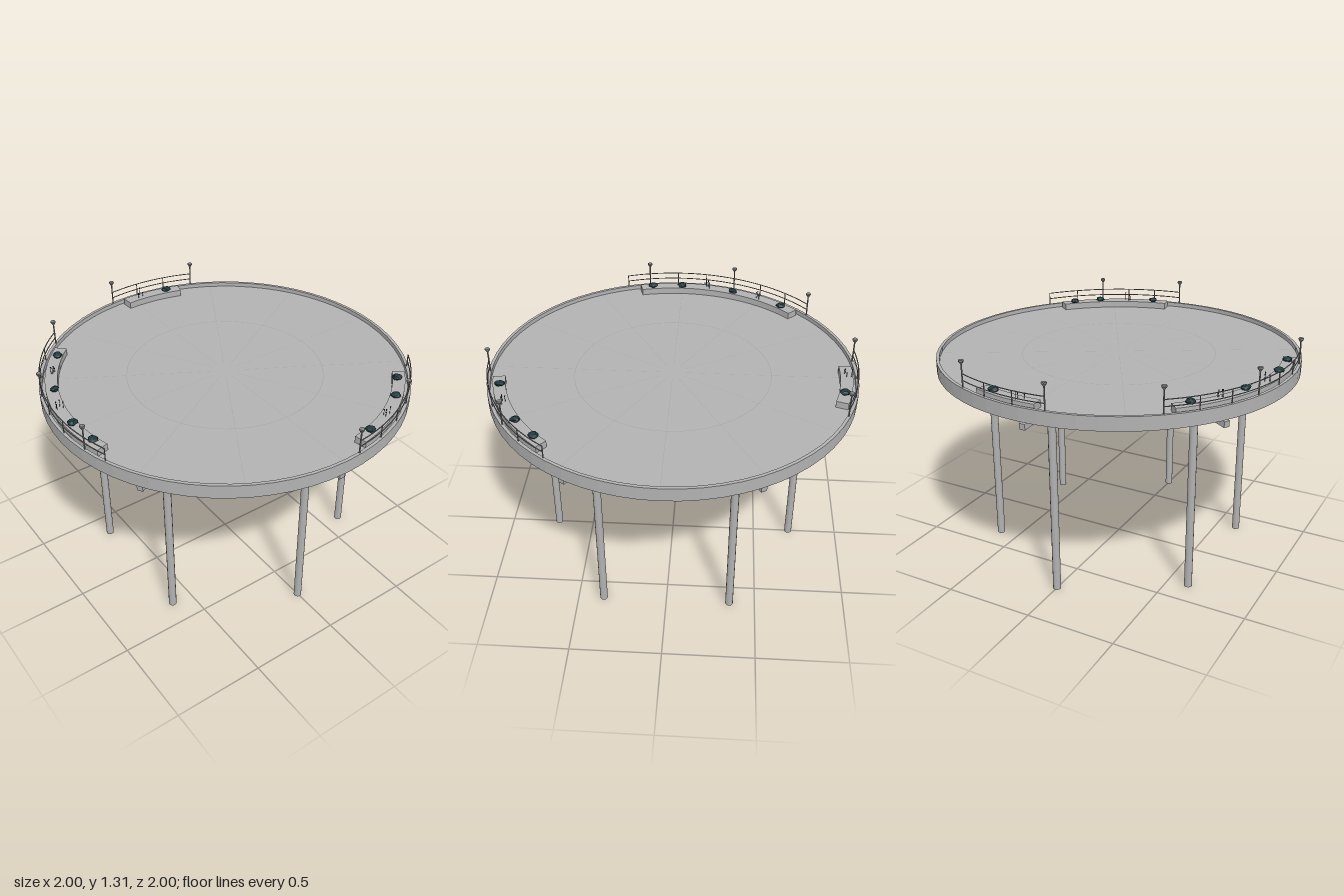
import * as THREE from 'three';
import { mergeGeometries } from 'three/addons/utils/BufferGeometryUtils.js';

const concrete = new THREE.MeshStandardMaterial({ color: 0xb2b2b2 });
const seamGrey = new THREE.MeshStandardMaterial({ color: 0xa4a4a4 });
const railGrey = new THREE.MeshStandardMaterial({ color: 0x858585 });
const shrubTeal = new THREE.MeshStandardMaterial({ color: 0x1f3a3e });

const RAD = Math.PI / 180;
const DECK_Y = 1.14, PLANTER_Y = 1.177, RAIL_R = 0.989;

// Angles run from the front (+z) towards +x, in degrees.
const polar = (r, deg, y = 0) =>
  new THREE.Vector3(r * Math.sin(deg * RAD), y, r * Math.cos(deg * RAD));

function flat(geometry) {
  const g = geometry.index ? geometry.toNonIndexed() : geometry;
  g.computeVertexNormals();
  return g;
}

function add(parent, name, geometry, material) {
  const mesh = new THREE.Mesh(geometry, material);
  mesh.name = name;
  parent.add(mesh);
  return mesh;
}

let seed = 7;
const rand = () => (seed = (seed * 16807) % 2147483647) / 2147483647;

// Upright round bar between two heights
function bar(p, y0, y1, rBottom, rTop = rBottom, sides = 6) {
  return new THREE.CylinderGeometry(rTop, rBottom, y1 - y0, sides)
    .translate(p.x, (y0 + y1) / 2, p.z);
}

// Curved planter block standing on the deck
function planterGeometry(a0, a1) {
  const t0 = (a0 - 90) * RAD, t1 = (a1 - 90) * RAD;
  const shape = new THREE.Shape();
  shape.absarc(0, 0, 0.967, t0, t1, false);
  shape.absarc(0, 0, 0.9, t1, t0, true);
  return new THREE.ExtrudeGeometry(shape, { depth: PLANTER_Y - DECK_Y, bevelEnabled: false, curveSegments: 12 })
    .rotateX(-Math.PI / 2).translate(0, DECK_Y, 0);
}

// Railing with posts, two rails and a lamp on every third post
function addRailing(parent, a0, a1, step, count) {
  const group = new THREE.Group();
  group.name = 'railing';
  const posts = [], lamps = [];
  for (let i = 0; i <= count; i++) {
    const a = i === count ? a1 : a0 + i * step;
    const p = polar(RAIL_R, a);
    posts.push(bar(p, DECK_Y, 1.236, 0.003));
    if (i % 3 === 0 && i < count + (count === 3 ? 1 : 0)) {
      lamps.push(bar(p, DECK_Y, 1.29, 0.004));
      lamps.push(bar(p, 1.284, 1.3, 0.005, 0.015, 10));
      lamps.push(bar(p, 1.3, 1.306, 0.015, 0.013, 10));
    }
  }
  const rails = [1.2, 1.235].map((y) => {
    const points = [];
    for (let i = 0; i <= 12; i++) points.push(polar(RAIL_R, a0 + (a1 - a0) * i / 12, y));
    return new THREE.TubeGeometry(new THREE.CatmullRomCurve3(points), 30, 0.0028, 6);
  });
  add(group, 'railPosts', mergeGeometries(posts), railGrey);
  add(group, 'rails', mergeGeometries(rails), railGrey);
  add(group, 'lamps', mergeGeometries(lamps), railGrey);
  parent.add(group);
}

// Low, ragged shrub
function shrubGeometry(x, z) {
  const g = new THREE.IcosahedronGeometry(1, 1);
  const pos = g.attributes.position, v = new THREE.Vector3(), scales = {};
  for (let i = 0; i < pos.count; i++) {
    v.fromBufferAttribute(pos, i);
    const key = [v.x, v.y, v.z].map((c) => Math.round(c * 100)).join();
    scales[key] ??= 0.8 + 0.35 * rand();
    v.multiplyScalar(scales[key]);
    pos.setXYZ(i, v.x, v.y, v.z);
  }
  g.scale(0.026, 0.014, 0.026).translate(x, 1.187, z);
  return flat(g);
}

// Sparse tuft of upright stems
function tuftGeometry(x, z) {
  const stems = [];
  for (let i = 0; i < 4; i++) {
    const p = new THREE.Vector3(x + (rand() - 0.5) * 0.04, 0, z + (rand() - 0.5) * 0.04);
    const top = 1.2 + 0.025 * rand();
    stems.push(bar(p, PLANTER_Y - 0.003, top, 0.0012, 0.0012, 4));
    stems.push(bar(p, top - 0.008, top, 0.002, 0.004, 5));
  }
  return mergeGeometries(stems);
}

export function createModel() {
  const model = new THREE.Group();
  model.name = 'roundPlatform';

  // Deck slab with a raised lip and a recessed underside
  const profile = [[0, 1.112], [0.957, 1.112], [0.957, 1.09], [1, 1.09], [1, 1.164],
    [0.983, 1.164], [0.983, DECK_Y], [0, DECK_Y]].map(([x, y]) => new THREE.Vector2(x, y));
  add(model, 'deck', flat(new THREE.LatheGeometry(profile, 64)), concrete);

  // Fine seams in the paving
  const seams = [new THREE.RingGeometry(0.533, 0.537, 64).rotateX(-Math.PI / 2)];
  for (let i = 0; i < 12; i++) {
    seams.push(new THREE.PlaneGeometry(0.002, 0.9).rotateX(-Math.PI / 2)
      .translate(0, 0, 0.52).rotateY(i * 30 * RAD));
  }
  add(model, 'pavingSeams', mergeGeometries(seams).translate(0, DECK_Y + 0.001, 0), seamGrey);

  // Six columns, each carrying a radial beam that drops outwards
  for (let i = 0; i < 6; i++) {
    const support = new THREE.Group();
    support.name = 'support';
    support.rotation.y = (30 + i * 60) * RAD;
    add(support, 'column', bar(new THREE.Vector3(0, 0, 0.713), 0, 1.092, 0.0215, 0.0215, 12), concrete);
    const beam = add(support, 'beam', new THREE.BoxGeometry(0.032, 0.033, 0.625), concrete);
    beam.position.set(0, 1.073, 0.66);
    beam.rotation.x = 0.068;
    model.add(support);
  }

  // Planters and the railings behind them
  for (const [a0, a1] of [[-46.2, 15.6], [99.1, 140.5], [-107.7, -86]]) {
    add(model, 'planter', planterGeometry(a0, a1), concrete);
  }
  addRailing(model, -50, 19.8, 10.3, 7);
  addRailing(model, 94.8, 145, 9.8, 5);
  addRailing(model, -82, -112.7, -10.23, 3);

  // Planting
  const shrubs = [[0.64, -0.665], [0.755, -0.54], [0.9, -0.23], [-0.91, -0.2],
    [-0.605, 0.7], [-0.315, 0.865], [0, 0.925], [0.18, 0.91]];
  for (const [x, z] of shrubs) add(model, 'shrub', shrubGeometry(x, z), shrubTeal);
  const tufts = [[-0.48, 0.8], [-0.16, 0.92], [0.84, -0.39], [-0.94, -0.03]];
  for (const [x, z] of tufts) add(model, 'tuft', tuftGeometry(x, z), shrubTeal);

  return model;
}
